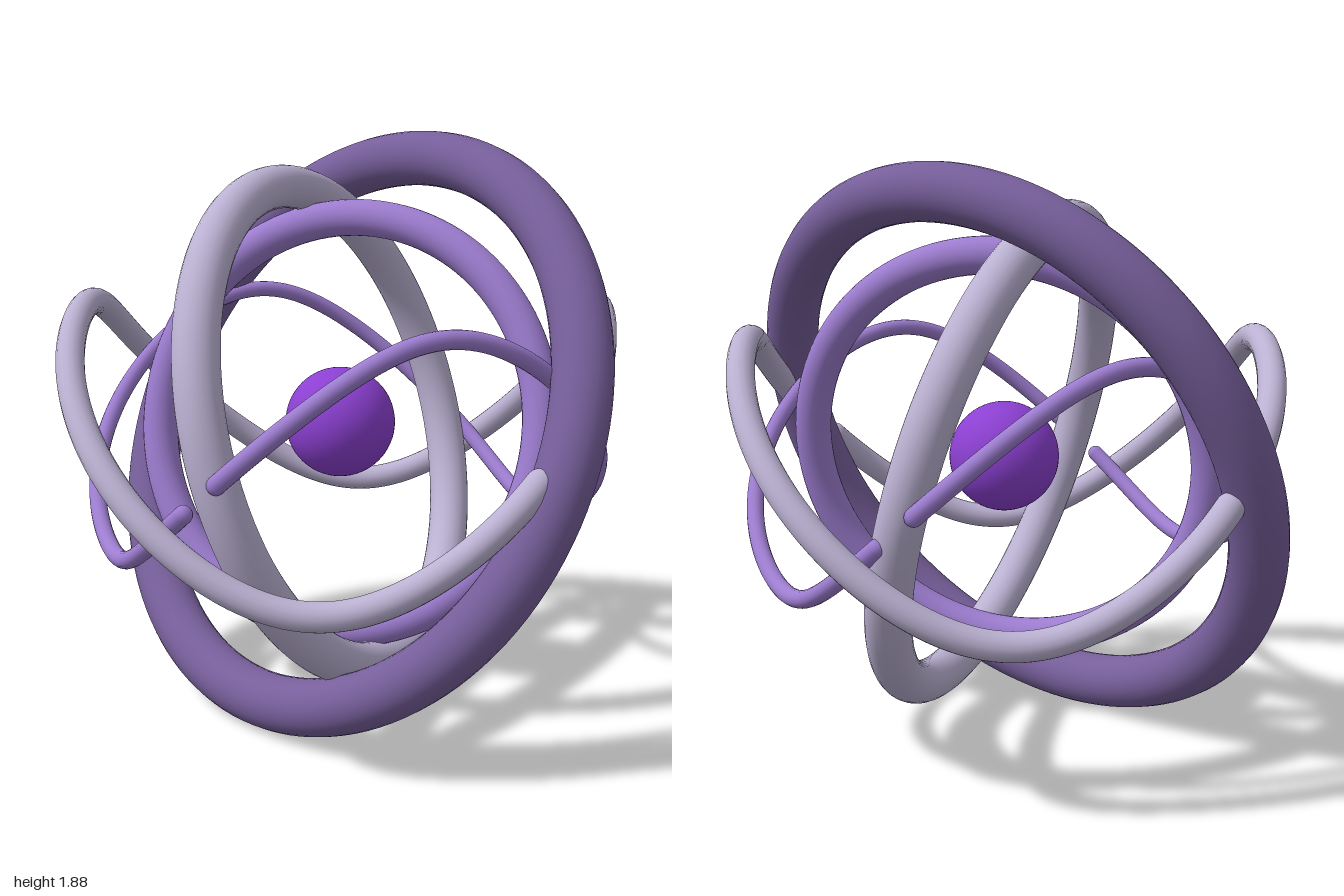
import * as THREE from 'three';

const CENTRE_Y = 0.95;
const rad = THREE.MathUtils.degToRad;

// Wave running round a sphere of the given radius, two periods per turn.
class SphereWave extends THREE.Curve {
  constructor({ radius, amplitude, zero, from, to }) {
    super();
    Object.assign(this, { radius, amplitude, zero, from, to });
  }
  getPoint(t, target = new THREE.Vector3()) {
    const a = rad(this.from + (this.to - this.from) * t);
    const y = this.amplitude * Math.sin(2 * (a - rad(this.zero)));
    const h = Math.sqrt(this.radius ** 2 - y ** 2);
    return target.set(h * Math.cos(a), y, h * Math.sin(a));
  }
}

export function createModel() {
  const material = (name, color) => new THREE.MeshStandardMaterial({ name, color });
  const duskPurple = material('dusk purple', 0x775f9b);
  const softPurple = material('soft purple', 0x9d7dd0);
  const paleLavender = material('pale lavender', 0xbbb1d2);
  const vividViolet = material('vivid violet', 0x8c40d2);

  const model = new THREE.Group();
  model.name = 'orbitalSculpture';
  const body = new THREE.Group();
  body.name = 'ringsAndCore';
  body.position.y = CENTRE_Y;
  model.add(body);

  const addMesh = (name, geometry, mat, parent = body) => {
    const mesh = new THREE.Mesh(geometry, mat);
    mesh.name = name;
    parent.add(mesh);
    return mesh;
  };

  // Core
  addMesh('core', new THREE.SphereGeometry(0.18, 48, 32), vividViolet);

  // Closed rings, each turned to its axis
  const addRing = (name, radius, tube, axis, mat) => {
    const ring = addMesh(name, new THREE.TorusGeometry(radius, tube, 24, 128), mat);
    ring.quaternion.setFromUnitVectors(
      new THREE.Vector3(0, 0, 1), new THREE.Vector3(...axis).normalize());
  };
  addRing('outerRing', 0.929, 0.09, [-0.203, 0.404, 0.892], duskPurple);
  addRing('middleRing', 0.79, 0.07, [0.955, 0.273, -0.113], paleLavender);
  addRing('innerRing', 0.676, 0.06, [0.18, 0.228, 0.957], softPurple);

  // Wavy half-turn ribbons with rounded ends, in opposite pairs
  const addRibbonPair = (name, tube, wave, mat) => {
    const curve = new SphereWave(wave);
    const tubeGeometry = new THREE.TubeGeometry(curve, 120, tube, 16);
    const endGeometry = new THREE.SphereGeometry(tube, 16, 12);
    for (const side of [0, 1]) {
      const ribbon = new THREE.Group();
      ribbon.name = name + (side ? 'Back' : 'Front');
      ribbon.rotation.y = side * Math.PI;
      body.add(ribbon);
      addMesh('ribbon', tubeGeometry, mat, ribbon);
      for (const t of [0, 1]) {
        addMesh('ribbonEnd', endGeometry, mat, ribbon).position.copy(curve.getPoint(t));
      }
    }
  };
  addRibbonPair('wideRibbon', 0.044,
    { radius: 0.91, amplitude: -0.388, zero: 16, from: 190, to: 18.5 }, paleLavender);
  addRibbonPair('thinRibbon', 0.028,
    { radius: 0.845, amplitude: 0.367, zero: -12, from: 80, to: -92 }, softPurple);

  return model;
}
